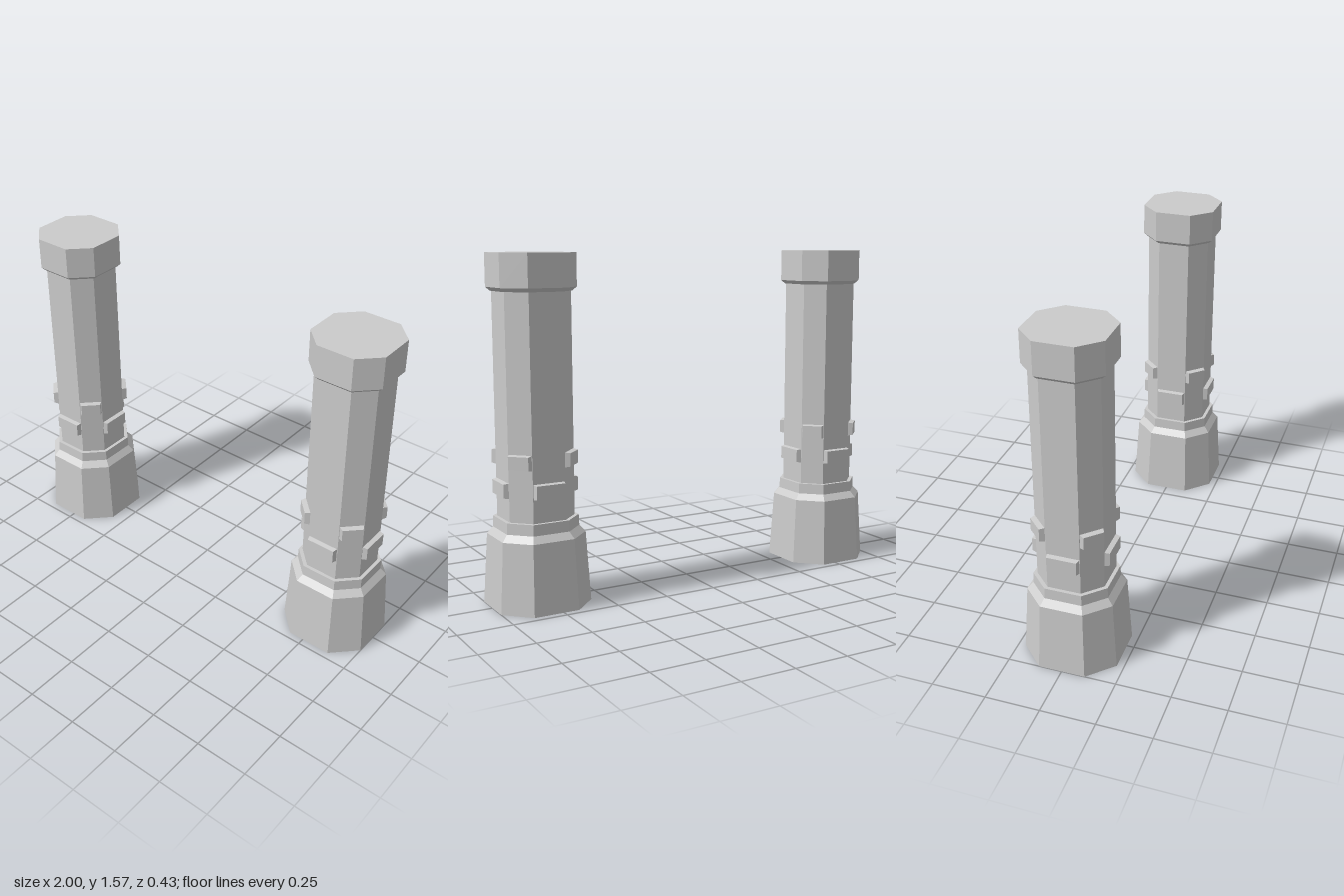
import * as THREE from 'three';

const material = new THREE.MeshStandardMaterial({ color: 0xcccccc, flatShading: true, side: THREE.DoubleSide });
const FLAT = 0.49; // half width of a straight side relative to its distance from the axis

// Eight corners of an octagon with wide straight sides, facing +-x and +-z
function octagon(r, y) {
  const f = r * FLAT;
  return [[f, r], [r, f], [r, -f], [f, -r], [-f, -r], [-r, -f], [-r, f], [-f, r]]
    .map(([x, z]) => [x, y, z]);
}

// Octagonal shell through [radius, height] pairs, listed from bottom to top
function shell(name, profile) {
  const rings = profile.map(([r, y]) => octagon(r, y));
  const points = [];
  for (let k = 0; k < rings.length - 1; k++) {
    for (let i = 0; i < 8; i++) {
      const j = (i + 1) % 8;
      const a = rings[k][i], b = rings[k][j], c = rings[k + 1][j], d = rings[k + 1][i];
      points.push(...a, ...b, ...c);
      if (profile[k + 1][0] > 0) points.push(...a, ...c, ...d);
    }
  }
  const geometry = new THREE.BufferGeometry();
  geometry.setAttribute('position', new THREE.Float32BufferAttribute(points, 3));
  geometry.computeVertexNormals();
  const mesh = new THREE.Mesh(geometry, material);
  mesh.name = name;
  return mesh;
}

// Raised block whose outer face is smaller than its root
function block(name, width, height, inner, outer, y, angle) {
  const bevel = 0.009, root = inner - 0.01;
  const geometry = new THREE.BoxGeometry(width, height, outer - root);
  const p = geometry.attributes.position;
  for (let i = 0; i < p.count; i++) {
    if (p.getZ(i) > 0) {
      p.setX(i, p.getX(i) - Math.sign(p.getX(i)) * bevel);
      p.setY(i, p.getY(i) - Math.sign(p.getY(i)) * bevel * 0.6);
    }
  }
  geometry.translate(0, y, (outer + root) / 2);
  geometry.rotateY(angle);
  geometry.computeVertexNormals();
  const mesh = new THREE.Mesh(geometry, material);
  mesh.name = name;
  return mesh;
}

function createColumn(name) {
  const column = new THREE.Group();
  column.name = name;

  // Flared foot, open underneath
  column.add(shell('base', [[0.217, 0], [0.198, 0.32], [0.173, 0.35]]));
  column.add(shell('collar', [[0.173, 0.35], [0.171, 0.4], [0.155, 0.4]]));
  column.add(shell('shaft', [[0.155, 0.4], [0.155, 1.4]]));
  column.add(shell('cap', [[0.155, 1.4], [0.16, 1.4], [0.178, 1.417], [0.178, 1.565], [0, 1.565]]));

  // Lower blocks on the straight sides, upper blocks on the diagonal sides
  for (let i = 0; i < 4; i++) {
    const angle = i * Math.PI / 2;
    column.add(block('lowerBlock', 0.152, 0.072, 0.155, 0.177, 0.539, angle));
    column.add(block('upperBlock', 0.112, 0.07, 0.163, 0.187, 0.668, angle + Math.PI / 4));
  }
  return column;
}

export function createModel() {
  const model = new THREE.Group();
  model.name = 'columnPair';
  for (const side of [-1, 1]) {
    const column = createColumn(side > 0 ? 'leftColumn' : 'rightColumn');
    column.position.x = side * 0.783;
    model.add(column);
  }
  return model;
}
